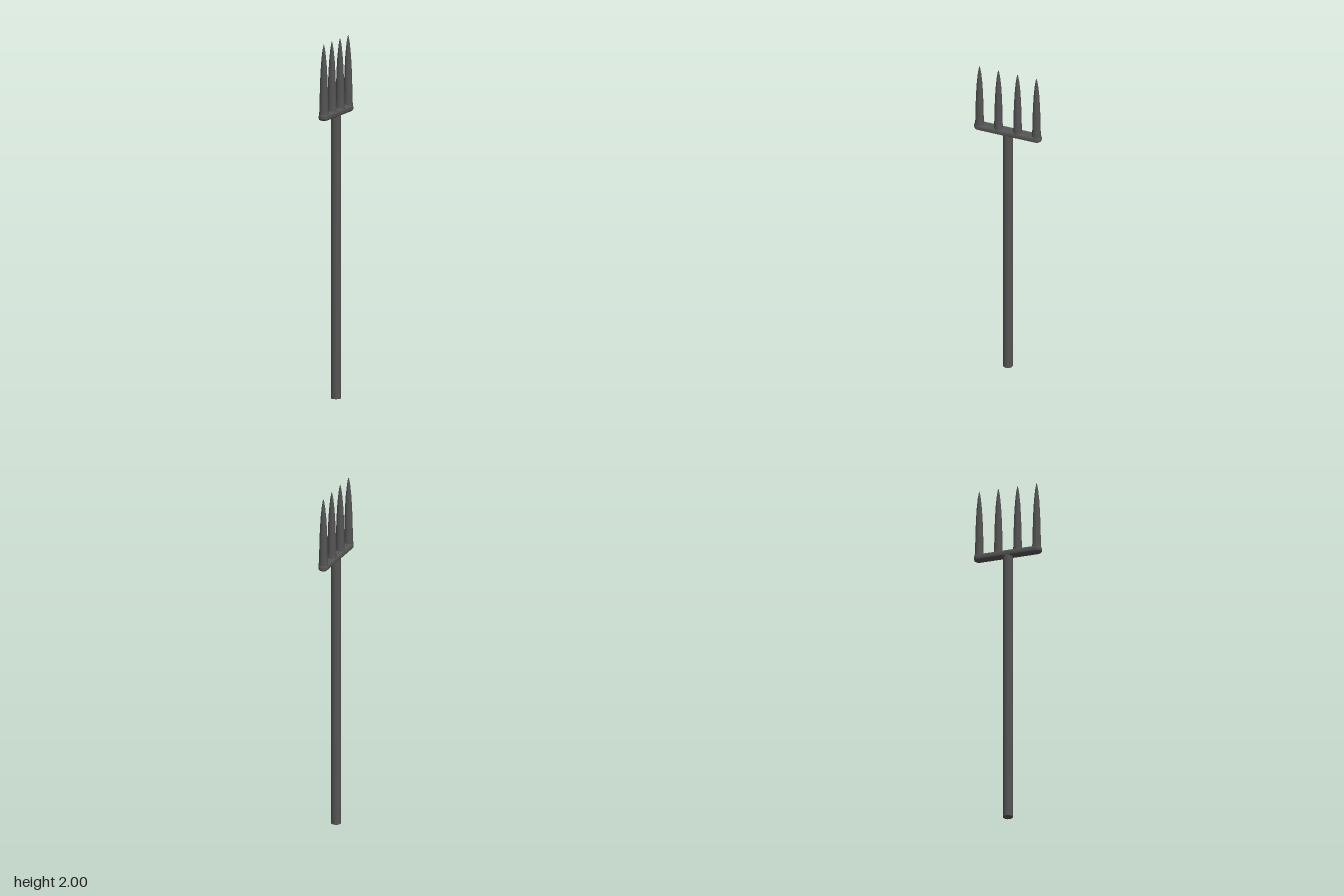
import * as THREE from 'three';

const material = new THREE.MeshStandardMaterial({ color: 0x555555 });

function addPart(parent, name, geometry) {
  const mesh = new THREE.Mesh(geometry, material);
  mesh.name = name;
  parent.add(mesh);
  return mesh;
}

// Bar with rounded ends and softened top and bottom edges, running along z
function crossbarGeometry() {
  const bevel = 0.012, r = 0.0275 - bevel, half = 0.169;
  const shape = new THREE.Shape();
  shape.absarc(0, half, r, 0, Math.PI, false);
  shape.absarc(0, -half, r, Math.PI, Math.PI * 2, false);
  shape.closePath();
  const geometry = new THREE.ExtrudeGeometry(shape, {
    depth: 0.036 - 2 * bevel,
    curveSegments: 5,
    bevelThickness: bevel,
    bevelSize: bevel,
    bevelSegments: 3,
  });
  geometry.rotateX(-Math.PI / 2);
  geometry.translate(0, 1.575 + bevel, 0);
  return geometry;
}

export function createModel() {
  const fork = new THREE.Group();
  fork.name = 'fork';

  // Straight round shaft
  const shaft = addPart(fork, 'shaft', new THREE.CylinderGeometry(0.0275, 0.0275, 1.585, 16));
  shaft.position.y = 0.7925;

  const head = new THREE.Group();
  head.name = 'head';
  fork.add(head);
  addPart(head, 'crossbar', crossbarGeometry());

  // Tines flare into the crossbar and taper to a point
  const profile = [
    [0.0275, 1.595], [0.0265, 1.61], [0.0245, 1.63], [0.0235, 1.68], [0.022, 1.75],
    [0.0195, 1.82], [0.0155, 1.89], [0.009, 1.955], [0.004, 1.985], [0, 2],
  ].map(([r, y]) => new THREE.Vector2(r, y));
  const tineGeometry = new THREE.LatheGeometry(profile, 10);
  for (const z of [-0.167, -0.056, 0.056, 0.167]) {
    addPart(head, 'tine', tineGeometry).position.z = z;
  }

  return fork;
}
